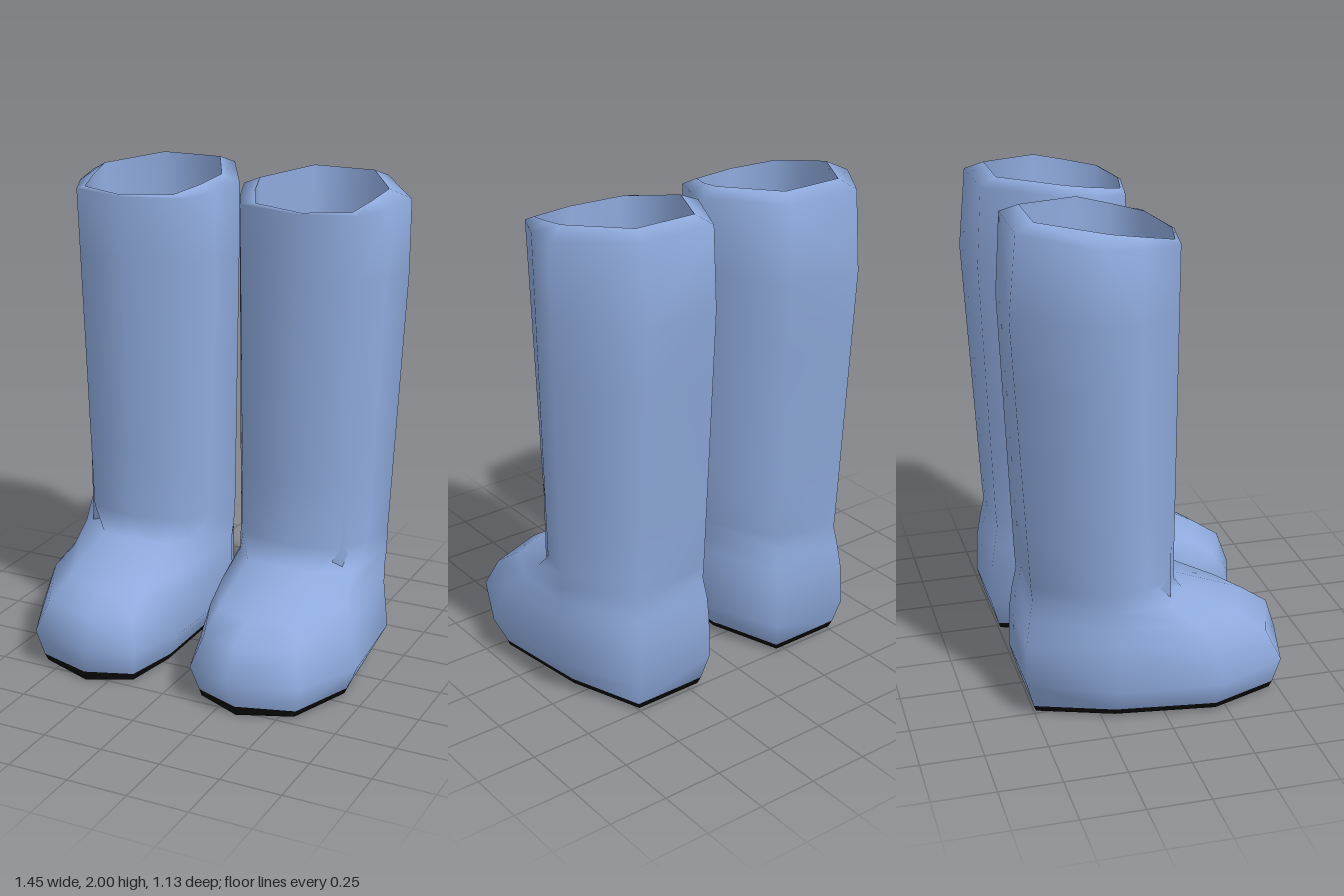
import * as THREE from 'three';

// One cross-section of nine points, ordered: toe, front outer, side outer, mid outer,
// back outer, back inner, mid inner, side inner, front inner.
const ring = (xs, zs, ys) =>
  xs.map((x, i) => new THREE.Vector3(x, Array.isArray(ys) ? ys[i] : ys, zs[i]));

const blend = (a, b, t) => a.map((p, i) => p.clone().lerp(b[i], t));

// Skin a stack of rings; optional caps close the first and last ring.
function loft(rings, side, caps = false) {
  const n = rings[0].length;
  const pos = [], idx = [];
  const add = (p) => pos.push(p.x * side, p.y, p.z);
  const tri = (a, b, c) => (side > 0 ? idx.push(a, b, c) : idx.push(a, c, b));
  rings.forEach((r) => r.forEach(add));
  for (let i = 0; i < rings.length - 1; i++) {
    for (let j = 0; j < n; j++) {
      const a = i * n + j, b = i * n + ((j + 1) % n);
      tri(a, b, b + n);
      tri(a, b + n, a + n);
    }
  }
  if (caps) {
    [rings[0], rings[rings.length - 1]].forEach((r, k) => {
      const start = pos.length / 3;
      const mid = new THREE.Vector3();
      r.forEach((p) => { add(p); mid.addScaledVector(p, 1 / n); });
      add(mid);
      for (let j = 0; j < n; j++) {
        const a = start + j, b = start + ((j + 1) % n);
        k ? tri(a, b, start + n) : tri(b, a, start + n);
      }
    });
  }
  const g = new THREE.BufferGeometry();
  g.setAttribute('position', new THREE.Float32BufferAttribute(pos, 3));
  g.setIndex(idx);
  g.computeVertexNormals();
  return g;
}

// Foot sections, from the welt up to the ankle
const welt = ring(
  [.34, .57, .675, .62, .51, .20, .10, .10, .15],
  [.54, .47, .20, -.20, -.505, -.505, -.20, .24, .47], .04);
const bulge = ring(
  [.315, .595, .725, .69, .53, .18, .03, .05, .125],
  [.565, .495, .22, -.20, -.535, -.535, -.20, .27, .505], .15);
const vamp = ring(
  [.33, .56, .68, .67, .52, .18, .03, .08, .16],
  [.52, .44, .19, -.20, -.53, -.53, -.20, .23, .45],
  [.28, .27, .31, .34, .32, .32, .34, .30, .27]);
const instep = ring(
  [.33, .52, .63, .67, .51, .18, .03, .09, .17],
  [.41, .34, .12, -.20, -.515, -.515, -.20, .14, .34],
  [.355, .345, .38, .42, .42, .42, .42, .38, .345]);
const ankle = ring(
  [.34, .48, .62, .67, .50, .19, .025, .11, .19],
  [.115, .11, .02, -.22, -.50, -.50, -.21, .01, .11],
  [.47, .47, .47, .49, .50, .50, .49, .47, .47]);

// Shaft sections, from the ankle to the rim
const shaftLow = ring(
  [.36, .56, .64, .67, .50, .19, .02, .07, .14],
  [.09, .05, -.08, -.22, -.505, -.505, -.21, -.08, .05], .56);
const shaftHigh = ring(
  [.38, .60, .675, .71, .505, .18, .01, .055, .12],
  [.09, .05, -.10, -.26, -.565, -.55, -.22, -.09, .04], 1.65);
const rimOuter = ring(
  [.385, .61, .68, .71, .505, .18, .01, .055, .115],
  [.09, .05, -.10, -.26, -.535, -.53, -.22, -.09, .04],
  [1.915, 1.92, 1.925, 1.94, 1.97, 1.97, 1.95, 1.93, 1.92]);
const rimInner = ring(
  [.39, .58, .61, .63, .475, .215, .085, .12, .18],
  [.08, .035, -.09, -.22, -.46, -.46, -.21, -.09, .035],
  [1.92, 1.93, 1.955, 1.98, 2, 2, 1.98, 1.955, 1.93]);

// Inside of the shaft and the sole
const liningTop = rimInner.map((p) => new THREE.Vector3(p.x, p.y - .06, p.z));
const liningBottom = ring(
  [.39, .575, .59, .60, .475, .215, .10, .125, .185],
  [.08, .035, -.09, -.22, -.46, -.46, -.21, -.09, .035], .04);
const soleBottom = ring(
  [.34, .56, .665, .61, .50, .21, .11, .11, .155],
  [.53, .46, .20, -.20, -.495, -.495, -.20, .24, .46],
  [0, .01, .015, .015, .012, .012, .015, .015, .01]);

export function createModel() {
  const model = new THREE.Group();
  model.name = 'boots';
  const blue = new THREE.MeshStandardMaterial({ color: 0x8fabde, side: THREE.DoubleSide });
  blue.name = 'light blue';
  const black = new THREE.MeshStandardMaterial({ color: 0x0a0a0a });
  black.name = 'black';

  const shaft = [.25, .5, .75].map((t) => blend(shaftLow, shaftHigh, t));
  for (const side of [1, -1]) {
    const boot = new THREE.Group();
    boot.name = side > 0 ? 'leftBoot' : 'rightBoot';
    const part = (name, geometry, material) => {
      const mesh = new THREE.Mesh(geometry, material);
      mesh.name = name;
      boot.add(mesh);
    };
    part('upper', loft([welt, bulge, vamp, instep, ankle, shaftLow, ...shaft,
      shaftHigh, rimOuter, rimInner], side), blue);
    part('lining', loft([rimInner, liningTop, liningBottom], side), blue);
    part('sole', loft([soleBottom, welt], side, true), black);
    model.add(boot);
  }
  return model;
}
